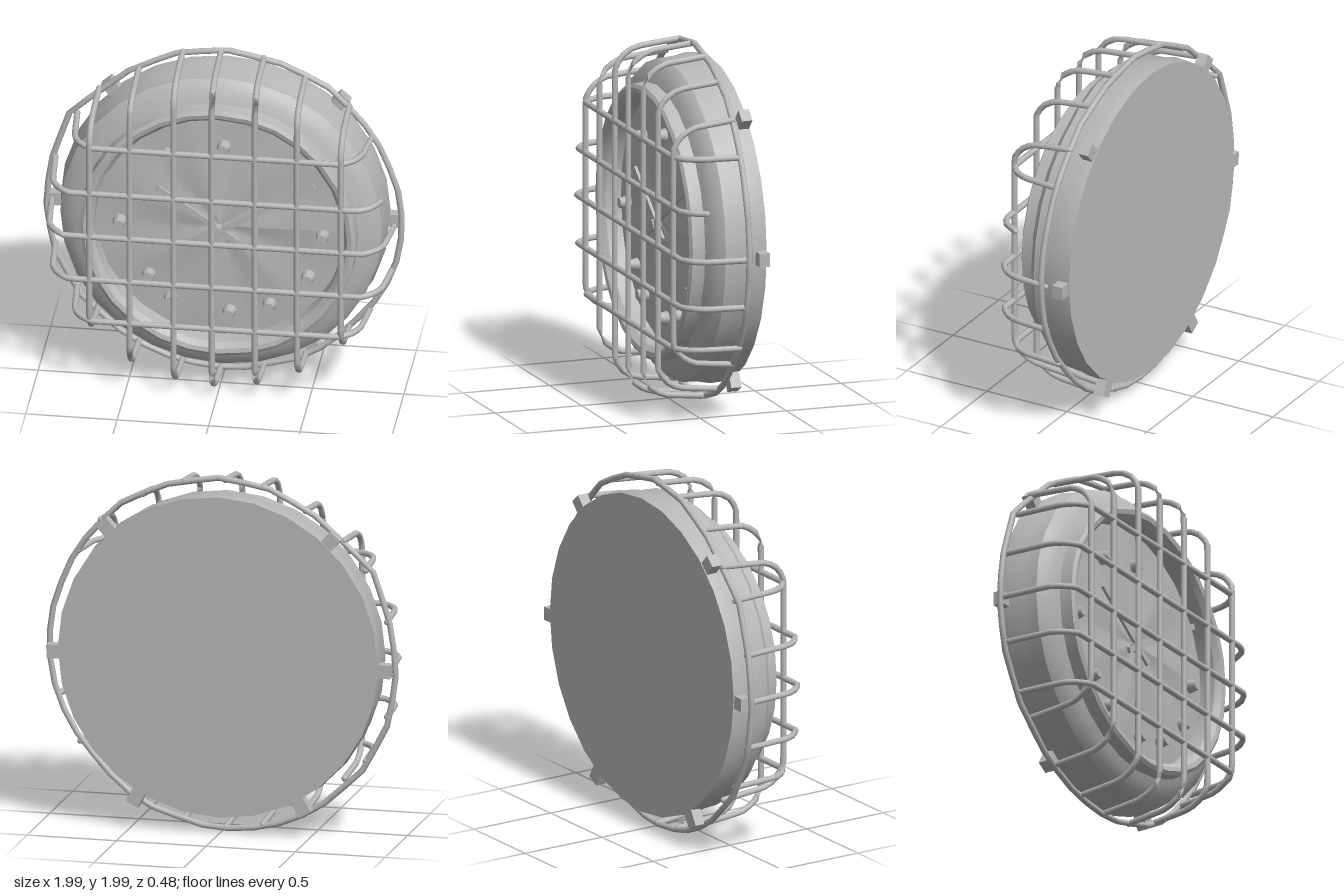
import * as THREE from 'three';
import { toCreasedNormals } from 'three/addons/utils/BufferGeometryUtils.js';

const grey = new THREE.MeshStandardMaterial({ color: 0xb8b8b8 });
grey.name = 'plain grey';
const WIRE = 0.017;

export function createModel() {
  const model = new THREE.Group();
  model.name = 'cagedWallClock';

  const add = (name, geometry, x = 0, y = 0, z = 0, parent = model) => {
    const mesh = new THREE.Mesh(geometry, grey);
    mesh.name = name;
    mesh.position.set(x, y, z);
    parent.add(mesh);
    return mesh;
  };

  // Housing: flat back, sloped shoulder and raised glass rim, turned to face +z
  const profile = [
    [0, -0.24], [0.895, -0.24], [0.9, -0.17], [0.885, -0.1], [0.88, -0.01], [0.855, 0.02],
    [0.8, 0.05], [0.76, 0.065], [0.755, 0.135], [0.735, 0.148], [0.71, 0.142],
    [0.685, 0.11], [0.68, 0.01],
  ].map(([r, h]) => new THREE.Vector2(r, h));
  const housing = new THREE.LatheGeometry(profile, 28).rotateX(Math.PI / 2);
  add('housing', toCreasedNormals(housing, 0.6), 0, 1, 0);

  // Dial: shallow crumpled disc that rises a little at the hub
  const dial = new THREE.RingGeometry(0.001, 0.7, 28, 5);
  const p = dial.attributes.position;
  for (let i = 0; i < p.count; i++) {
    const x = p.getX(i), y = p.getY(i);
    const r = Math.hypot(x, y), a = Math.atan2(y, x);
    const ripple = 0.012 * Math.sin(a * 7 + 1) * Math.sin((r / 0.7) * Math.PI);
    p.setZ(i, 0.02 + 0.025 * (1 - r / 0.7) + ripple);
  }
  dial.computeVertexNormals();
  add('dial', dial, 0, 1, 0);

  // Hour bumps: stubby tapered pegs
  const bumps = [
    [0.02, 1.48], [-0.29, 1.41], [-0.55, 0.98], [0.56, 0.97], [0.48, 0.71],
    [0.27, 0.53], [0.05, 0.47], [-0.27, 0.53], [-0.39, 0.67],
  ];
  for (const [x, y] of bumps) {
    const peg = new THREE.CylinderGeometry(0.028, 0.042, 0.07, 8).rotateX(Math.PI / 2);
    add('hourBump', toCreasedNormals(peg, 0.9), x, y, 0.045);
  }

  // Hands: thin bars reaching past the hub
  const hand = (name, tail, tip, z) => {
    const dx = tip[0] - tail[0], dy = tip[1] - tail[1];
    const mesh = add(name, new THREE.BoxGeometry(Math.hypot(dx, dy), 0.032, 0.016),
      (tip[0] + tail[0]) / 2, (tip[1] + tail[1]) / 2, z);
    mesh.rotation.z = Math.atan2(dy, dx);
  };
  hand('minuteHand', [-0.11, 0.915], [0.52, 1.3], 0.08);
  hand('hourHand', [0.1, 0.915], [-0.34, 1.22], 0.066);
  add('hub', new THREE.CylinderGeometry(0.03, 0.03, 0.06, 10).rotateX(Math.PI / 2), -0.01, 0.98, 0.065);

  // Cage
  const cage = new THREE.Group();
  cage.name = 'cage';
  model.add(cage);

  // Ring: bent by hand, slightly tilted back on the right side
  const ringZ = (x) => -0.145 + 0.035 * x;
  const ringPoints = [
    [0.02, 1.98], [-0.26, 1.94], [-0.52, 1.81], [-0.68, 1.67], [-0.85, 1.52], [-0.95, 1.22],
    [-0.982, 0.97], [-0.94, 0.68], [-0.79, 0.4], [-0.53, 0.165], [-0.26, 0.05], [0.05, 0.02],
    [0.38, 0.11], [0.57, 0.22], [0.8, 0.47], [0.93, 0.7], [0.98, 0.98], [0.945, 1.24],
    [0.82, 1.53], [0.59, 1.79], [0.33, 1.92],
  ].map(([x, y]) => new THREE.Vector3(x, y, ringZ(x)));
  const ringCurve = new THREE.CatmullRomCurve3(ringPoints, true, 'catmullrom', 0.1);
  add('cageRing', new THREE.TubeGeometry(ringCurve, 42, WIRE, 8, true), 0, 0, 0, cage);

  // Wire with rounded ends
  const wire = (name, points) => {
    const curve = new THREE.CatmullRomCurve3(points, false, 'catmullrom', 0.2);
    add(name, new THREE.TubeGeometry(curve, 44, WIRE, 8), 0, 0, 0, cage);
    for (const e of [points[0], points[points.length - 1]])
      add(name + 'End', new THREE.SphereGeometry(WIRE, 8, 6), e.x, e.y, e.z, cage);
  };
  // Bend of a wire end: inset from the end, and depth
  const bend = [[0, null], [0.025, 0.1], [0.07, 0.18], [0.12, 0.212], [0.18, 0.222]];
  const span = (lo, hi, place) => [
    ...bend.map(([d, z]) => place(lo + d, z)),
    ...bend.map(([d, z]) => place(hi - d, z)).reverse(),
  ];

  // Upright wires: x, bottom, top
  const uprights = [
    [-0.69, 0.35, 1.68], [-0.47, 0.15, 1.83], [-0.23, 0.06, 1.95], [-0.02, 0.03, 1.97],
    [0.215, 0.06, 1.95], [0.445, 0.15, 1.86], [0.685, 0.34, 1.7],
  ];
  for (const [x, lo, hi] of uprights)
    wire('uprightWire', span(lo, hi, (y, z) => new THREE.Vector3(x, y, z ?? ringZ(x))));

  // Cross wires: y, left end, right end; one is broken off short
  const crosses = [
    [1.52, -0.81, 0.81], [1.24, -0.93, 0.91], [0.975, -0.95, 0.93], [0.71, -0.93, 0.92], [0.455, -0.81, 0.8],
  ];
  for (const [y, lo, hi] of crosses) {
    const points = span(lo, hi, (x, z) => new THREE.Vector3(x, y, z ?? ringZ(x)));
    wire('crossWire', y === 1.24 ? points.slice(0, -1) : points);
  }

  // Brackets: six lugs holding the ring to the housing
  for (const side of [-1, 1]) {
    for (const [x, y] of [[0.9, 0.975], [0.615, 1.67], [0.455, 0.2]]) {
      const lug = add('bracket', new THREE.BoxGeometry(0.12, 0.075, 0.06), side * x, y, -0.205);
      lug.rotation.z = Math.atan2(y - 1, side * x);
    }
  }
  return model;
}
